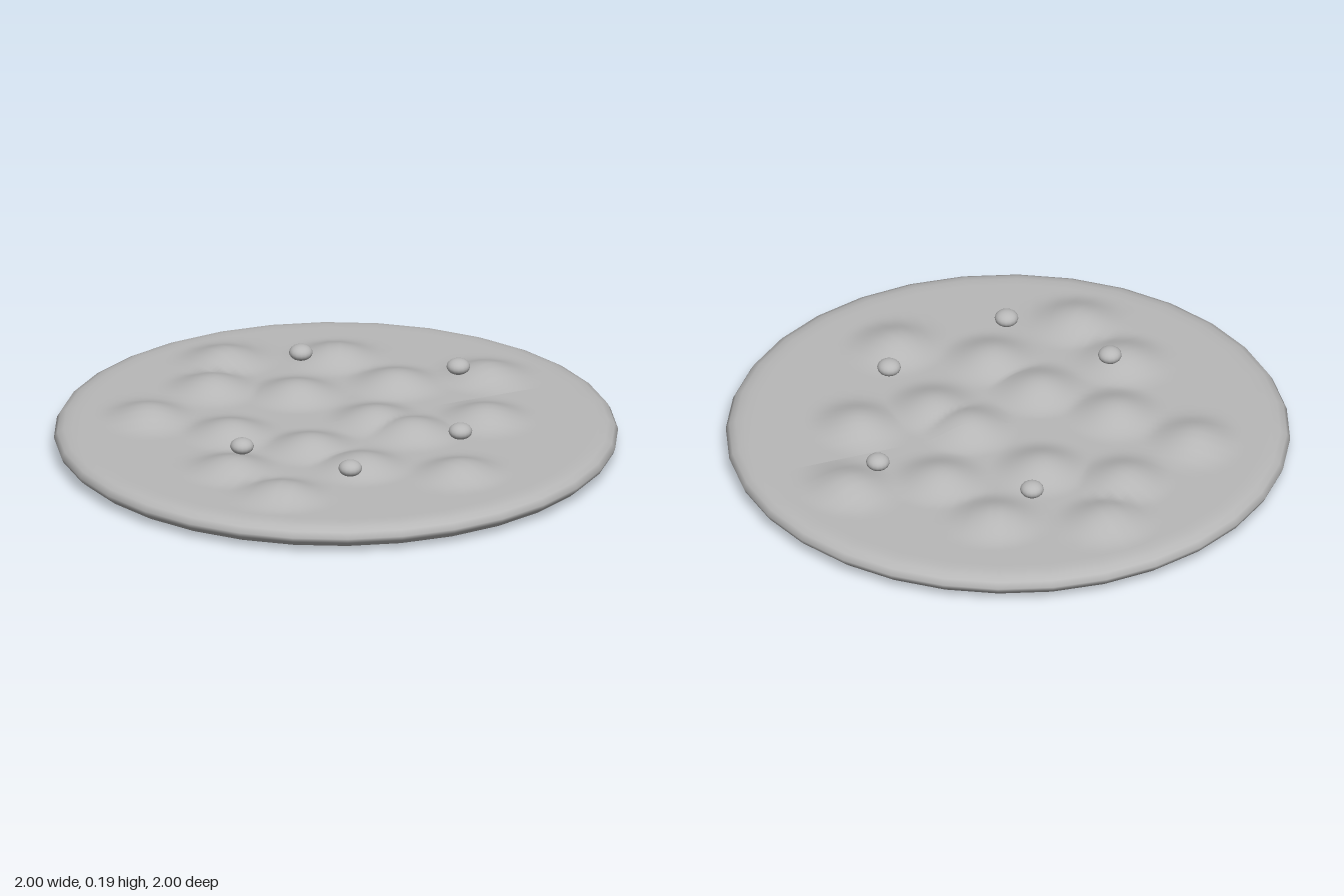
import * as THREE from 'three';

// Bump centres on the upper face: [x, z]
const BUMPS = [
  [-0.58, -0.33], [-0.26, -0.48], [-0.11, -0.70], [-0.38, -0.07], [-0.01, -0.31], [0.26, -0.56],
  [-0.52, 0.24], [-0.18, 0.17], [0.14, 0.03], [0.35, -0.25], [0.67, -0.18], [-0.46, 0.53],
  [-0.09, 0.41], [0.21, 0.19], [0.50, 0.18], [0.20, 0.61],
];
// Bead centres: [x, z]
const BEADS = [[0.1, -0.51], [0.55, -0.155], [0.3, 0.4], [-0.2, 0.55], [-0.46, 0.2]];

// Soft cosine mounds over the flat top
function topHeight(x, z) {
  let h = 0;
  for (const [bx, bz] of BUMPS) {
    const d = Math.hypot(x - bx, z - bz) / 0.19;
    if (d < 1) h = Math.max(h, 0.0225 * (1 + Math.cos(Math.PI * d)));
  }
  return 0.1 + h;
}

export function createModel() {
  const group = new THREE.Group();
  group.name = 'bumpyDisc';
  const grey = new THREE.MeshStandardMaterial({ color: 0xb8b8b8 });
  grey.name = 'plain grey';

  // Thick round base with a rounded rim
  const rim = [
    [0, 0.004], [0.6, 0.004], [0.88, 0.006], [0.935, 0.012], [0.97, 0.025], [0.993, 0.045],
    [1, 0.062], [0.988, 0.083], [0.965, 0.094], [0.935, 0.1], [0.9, 0.1],
  ].map(([r, y]) => new THREE.Vector2(r, y));
  const baseGeometry = new THREE.LatheGeometry(rim, 32);
  const base = new THREE.Mesh(baseGeometry, grey);
  base.name = 'base';
  group.add(base);

  // Upper face: a disc raised into mounds
  const topGeometry = new THREE.RingGeometry(0, 0.9, 96, 50);
  topGeometry.rotateX(-Math.PI / 2);
  const p = topGeometry.attributes.position;
  for (let i = 0; i < p.count; i++) p.setY(i, topHeight(p.getX(i), p.getZ(i)));
  topGeometry.computeVertexNormals();
  const top = new THREE.Mesh(topGeometry, grey);
  top.name = 'bumpyTop';
  group.add(top);

  // Flattened beads sitting above the mounds
  const beadGeometry = new THREE.SphereGeometry(0.042, 16, 12);
  beadGeometry.scale(1, 0.68, 1);
  for (const [x, z] of BEADS) {
    const bead = new THREE.Mesh(beadGeometry, grey);
    bead.name = 'bead';
    bead.position.set(x, 0.166, z);
    group.add(bead);
  }
  return group;
}
